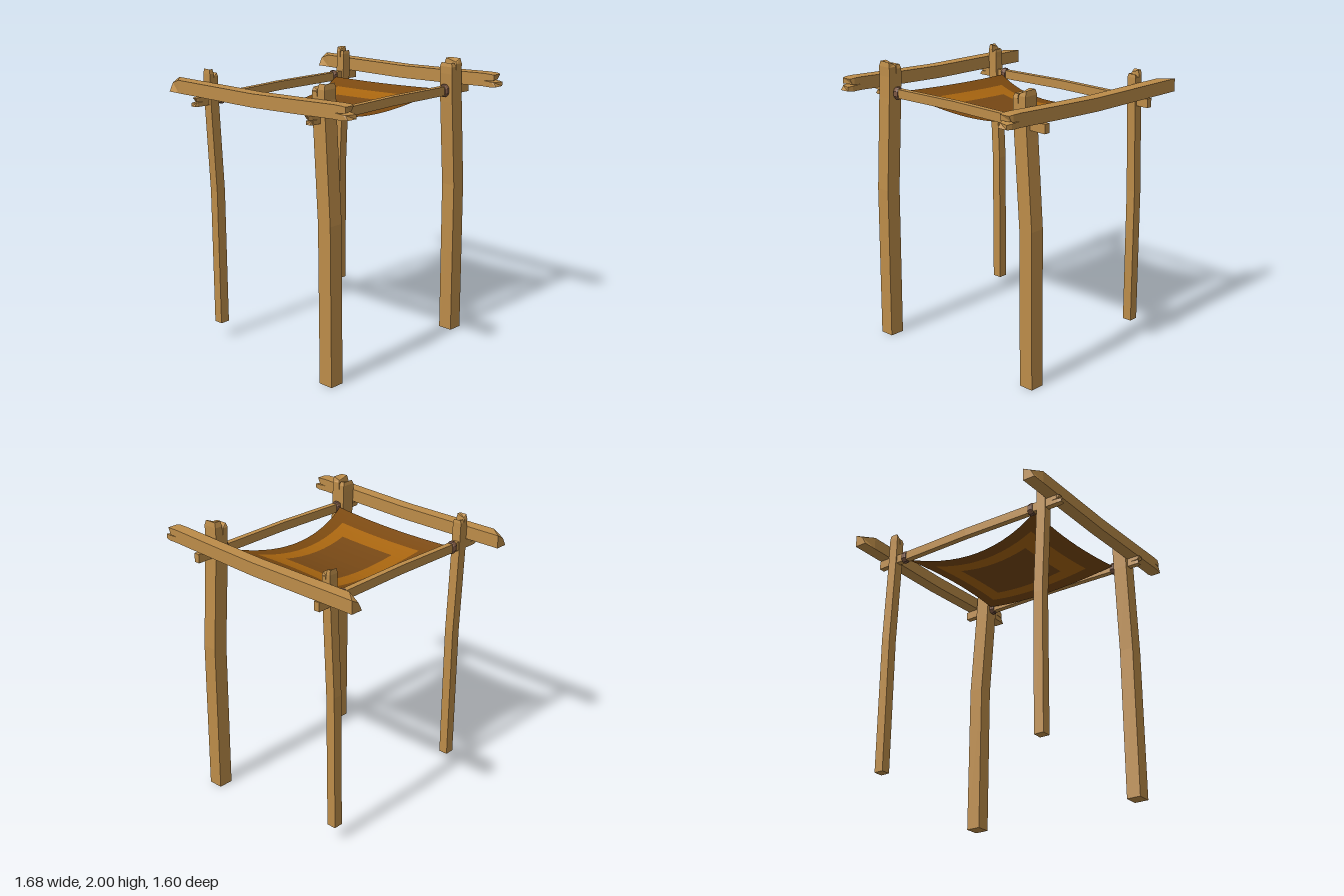
import * as THREE from 'three';

const paint = (name, color, extra = {}) => {
  const m = new THREE.MeshStandardMaterial({ color, ...extra });
  m.name = name;
  return m;
};

function buildMesh(name, positions, material) {
  const g = new THREE.BufferGeometry();
  g.setAttribute('position', new THREE.Float32BufferAttribute(positions, 3));
  g.computeVertexNormals();
  const mesh = new THREE.Mesh(g, material);
  mesh.name = name;
  return mesh;
}

// Flat-faced loft along an axis; ring points are [along, a, b] in cyclic axis order
function loft(axis, rings) {
  const out = [];
  const put = (p) => {
    const v = [0, 0, 0];
    p.forEach((c, i) => { v[(axis + i) % 3] = c; });
    out.push(...v);
  };
  const n = rings[0].length;
  for (let k = 0; k < rings.length - 1; k++) {
    for (let i = 0; i < n; i++) {
      const j = (i + 1) % n, r = rings[k], t = rings[k + 1];
      [r[i], r[j], t[j], r[i], t[j], t[i]].forEach(put);
    }
  }
  const first = rings[0], last = rings[rings.length - 1];
  for (let i = 1; i < n - 1; i++) {
    [first[0], first[i + 1], first[i]].forEach(put);
    [last[0], last[i], last[i + 1]].forEach(put);
  }
  return out;
}

const rect = (s, a0, a1, b0, b1) => [[s, a0, b0], [s, a1, b0], [s, a1, b1], [s, a0, b1]];

// Hewn timber: bent bar whose far end is split into two uneven splinters
function timber(axis, stations, w, h, tips, { splitB = false, at = 0.5, nick = false } = {}) {
  const rings = stations.map(([s, a, b]) => rect(s, a - w / 2, a + w / 2, b - h / 2, b + h / 2));
  if (nick) {
    // axe-cut corner at the near end
    const c = rings[0][2];
    c[1] -= w * 0.35;
    c[2] -= h * 0.35;
    const [s, a, b] = stations[0], [, a1, b1] = stations[1];
    const t = 0.12, ca = a + (a1 - a) * t, cb = b + (b1 - b) * t;
    rings.splice(1, 0, rect(s + (stations[1][0] - s) * t, ca - w / 2, ca + w / 2, cb - h / 2, cb + h / 2));
  }
  const out = loft(axis, rings);
  const [s, a, b] = stations[stations.length - 1];
  tips.forEach((tip, i) => {
    const lo = i ? at : 0, hi = i ? 1 : at;
    const piece = (at_, from, to, trim) => {
      const f = [from, to], g = [trim, 1 - trim];
      const [p, q] = splitB ? [g, f] : [f, g];
      return rect(at_, a + (p[0] - 0.5) * w, a + (p[1] - 0.5) * w, b + (q[0] - 0.5) * h, b + (q[1] - 0.5) * h);
    };
    const gap = 0.07;
    const end = piece(tip, i ? lo + gap : lo + 0.05, i ? hi - 0.05 : hi - gap, 0.1);
    // slanted break
    end[i ? 0 : 2][0] -= 0.02;
    out.push(...loft(axis, [
      piece(s, lo, hi, 0),
      piece(s + (tip - s) * 0.65, i ? lo + gap / 2 : lo, i ? hi : hi - gap / 2, 0),
      end,
    ]));
  });
  return out;
}

export function createModel() {
  const wood = paint('wood', 0xbc8c49);
  const rope = paint('rope', 0x7d5844);
  const clothColours = [
    paint('clothCentre', 0x774815, { side: THREE.DoubleSide }),
    paint('clothBand', 0xa8650f, { side: THREE.DoubleSide }),
    paint('clothBorder', 0x7b4910, { side: THREE.DoubleSide }),
  ];
  const model = new THREE.Group();
  model.name = 'canopy';
  const add = (name, positions, material) => model.add(buildMesh(name, positions, material));

  // Posts: stations are [y, z, x]
  add('frontLeftPost', timber(1,
    [[0, 0.629, 0.57], [1.1, 0.629, 0.56], [1.75, 0.629, 0.52], [1.9, 0.629, 0.512]],
    0.104, 0.108, [1.975, 2], { splitB: true, at: 0.42 }), wood);
  add('backLeftPost', timber(1,
    [[0, -0.685, 0.512], [1.1, -0.675, 0.512], [1.7, -0.63, 0.512], [1.9, -0.618, 0.512]],
    0.106, 0.106, [2, 1.975], { at: 0.58 }), wood);
  add('frontRightPost', timber(1,
    [[0.12, 0.606, -0.547], [1.1, 0.61, -0.547], [1.7, 0.64, -0.547], [1.87, 0.645, -0.547]],
    0.07, 0.067, [1.93, 1.96]), wood);
  add('backRightPost', timber(1,
    [[0.12, -0.655, -0.586], [1.1, -0.655, -0.58], [1.75, -0.655, -0.55], [1.87, -0.655, -0.547]],
    0.068, 0.068, [1.96, 1.935], { splitB: true }), wood);

  // Cross beams: stations are [x, y, z]
  for (const [name, z] of [['frontBeam', 0.725], ['backBeam', -0.735]]) {
    add(name, timber(0,
      [[-0.84, 1.825, z], [0, 1.835, z], [0.4, 1.853, z], [0.73, 1.87, z]],
      0.09, 0.09, [0.84, 0.82], { at: 0.45, nick: true }), wood);
  }

  // Side rails: stations are [z, x, y]
  add('leftRail', timber(2,
    [[-0.8, 0.51, 1.78], [0, 0.51, 1.792], [0.7, 0.51, 1.783]],
    0.042, 0.062, [0.77, 0.78], { splitB: true }), wood);
  add('rightRail', timber(2,
    [[-0.78, -0.555, 1.747], [0, -0.555, 1.757], [0.72, -0.555, 1.747]],
    0.042, 0.062, [0.8, 0.785], { splitB: true }), wood);

  // Rope lashings around the rails
  for (const [x, y] of [[0.511, 1.784], [-0.555, 1.75]]) {
    for (const z of [-0.553, 0.553]) {
      const rings = [[-0.02, 0.85], [-0.012, 1], [0.012, 1], [0.02, 0.85]].map(([dz, k]) =>
        Array.from({ length: 8 }, (_, i) => {
          const t = (i + 0.5) * Math.PI / 4;
          return [z + dz, x + Math.cos(t) * 0.035 * k, y + Math.sin(t) * 0.046 * k];
        }));
      add('lashing', loft(2, rings), rope);
    }
  }

  // Sagging cloth with concave edges, split into three nested colours
  const point = (u, v) => {
    const x = -0.024 + u * (0.415 + 0.09 * v * v);
    return [x, 1.672 + 0.042 * x + 0.098 * v * v, v * (0.52 + 0.04 * u * u)];
  };
  const steps = (marks, counts) => {
    const list = [];
    counts.forEach((n, i) => {
      for (let k = 0; k < n; k++) {
        list.push([marks[i] + (marks[i + 1] - marks[i]) * k / n,
          marks[i] + (marks[i + 1] - marks[i]) * (k + 1) / n, Math.abs(i - 2)]);
      }
    });
    return list;
  };
  const us = steps([-1, -0.75, -0.51, 0.51, 0.75, 1], [3, 3, 6, 3, 3]);
  const vs = steps([-1, -0.775, -0.535, 0.535, 0.775, 1], [3, 3, 8, 3, 3]);
  const cloth = [[], [], []];
  for (const [u0, u1, i] of us) {
    for (const [v0, v1, j] of vs) {
      const a = point(u0, v0), b = point(u0, v1), c = point(u1, v1), d = point(u1, v0);
      cloth[Math.max(i, j)].push(...a, ...b, ...c, ...a, ...c, ...d);
    }
  }
  ['clothCentre', 'clothBand', 'clothBorder'].forEach((name, i) => add(name, cloth[i], clothColours[i]));

  return model;
}
